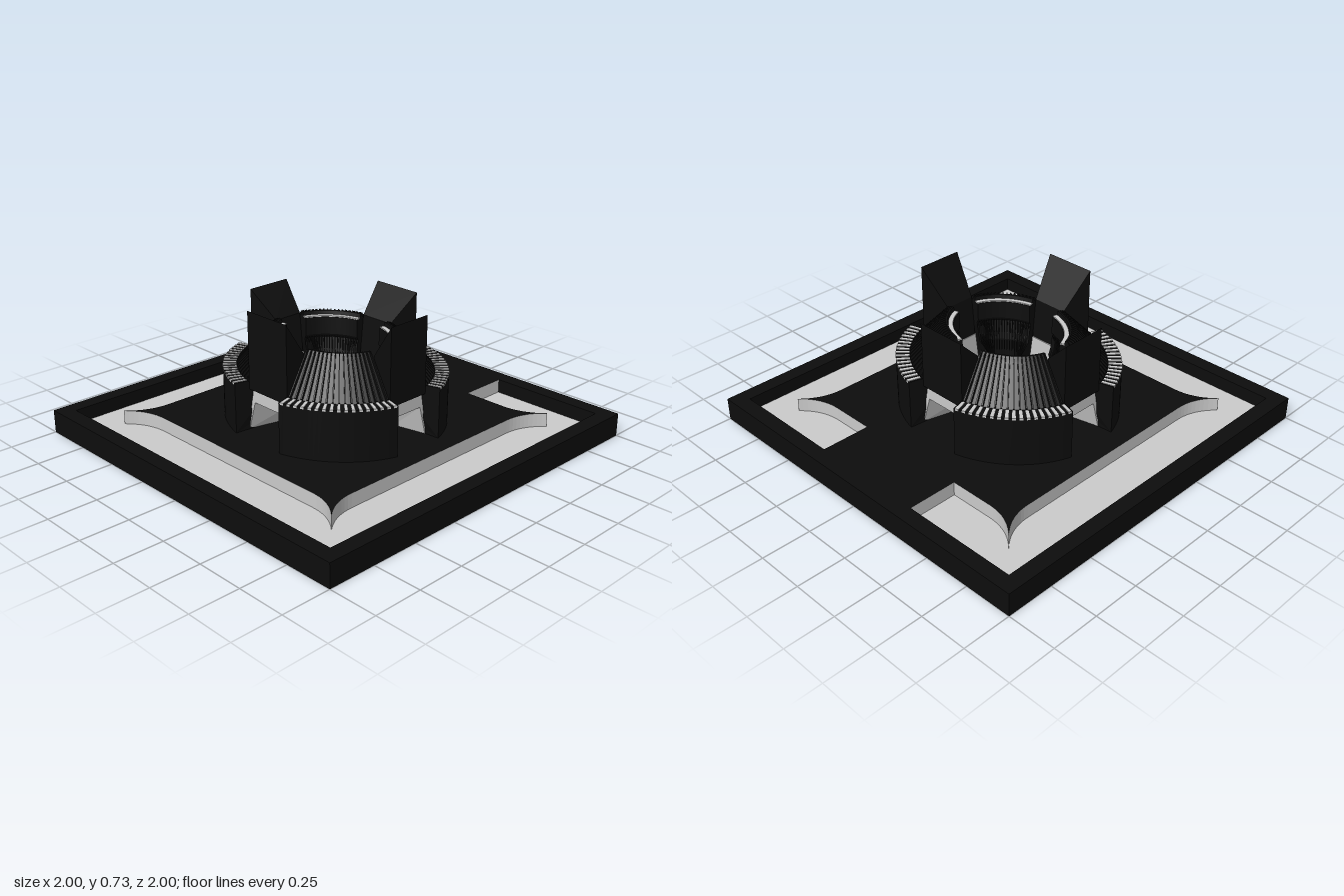
import * as THREE from 'three';

const mat = (color) => new THREE.MeshStandardMaterial({ color, flatShading: true, side: THREE.DoubleSide });
const black = mat(0x0d0d0d);
const grey = mat(0xcccccc);
const green = mat(0x43b012);
const GROUND = 0.12;
const FLOOR = 0.045;
const GAP = 0.27; // half angle of each gateway gap
const SPAN = Math.PI / 2 - 2 * GAP;

function add(parent, name, geometry, material) {
  const mesh = new THREE.Mesh(geometry, material);
  mesh.name = name;
  parent.add(mesh);
  return mesh;
}

const polygon = (pts) => new THREE.Shape(pts.map(([x, y]) => new THREE.Vector2(x, y)));

// Sweeps a (radius, height) section around the slightly oval plan.
function arc(section, start, end, steps = 1) {
  const g = new THREE.ExtrudeGeometry(polygon(section), { depth: 1, steps, bevelEnabled: false });
  const p = g.attributes.position;
  const keepClear = (v, y) => (y < 0.3 && Math.abs(v) < 0.125 ? Math.sign(v) * 0.125 : v);
  for (let i = 0; i < p.count; i++) {
    const r = p.getX(i), y = p.getY(i);
    const a = start + (end - start) * p.getZ(i);
    p.setXYZ(i, keepClear((r + 0.025) * Math.cos(a), y), y, keepClear((r - 0.025) * Math.sin(a), y));
  }
  g.computeVertexNormals();
  return g;
}

// Lays a plan shape flat between two heights.
function slab(shape, y0, y1) {
  const g = new THREE.ExtrudeGeometry(shape, { depth: y1 - y0, bevelEnabled: false, curveSegments: 10 });
  return g.rotateX(-Math.PI / 2).translate(0, y0, 0);
}

function roundedRect(w, h, r) {
  const s = new THREE.Shape();
  s.moveTo(w - r, -h);
  s.absarc(w - r, -h + r, r, -Math.PI / 2, 0);
  s.absarc(w - r, h - r, r, 0, Math.PI / 2);
  s.absarc(-w + r, h - r, r, Math.PI / 2, Math.PI);
  s.absarc(-w + r, -h + r, r, Math.PI, Math.PI * 1.5);
  s.closePath();
  return s;
}

function outline(w, h, r, t) {
  const s = roundedRect(w, h, r);
  s.holes.push(roundedRect(w - t, h - t, r - t));
  return s;
}

// Island with pointed, flared corners and a causeway at the back.
function islandShape() {
  const e = 0.66, c = 0.54, tip = 0.75, cw = 0.31;
  const s = new THREE.Shape();
  s.moveTo(-c, -e);
  s.lineTo(c, -e);
  s.quadraticCurveTo(e, -e, tip, -tip);
  s.quadraticCurveTo(e, -e, e, -c);
  s.lineTo(e, c);
  s.quadraticCurveTo(e, e, tip, tip);
  s.quadraticCurveTo(e, e, c, e);
  s.lineTo(cw, e);
  s.lineTo(cw, 0.92);
  s.lineTo(-cw, 0.92);
  s.lineTo(-cw, e);
  s.lineTo(-c, e);
  s.quadraticCurveTo(-e, e, -tip, tip);
  s.quadraticCurveTo(-e, e, -e, c);
  s.lineTo(-e, -c);
  s.quadraticCurveTo(-e, -e, -tip, -tip);
  s.quadraticCurveTo(-e, -e, -c, -e);
  return s;
}

// Gateway lining that narrows and drops towards the pitch.
function portal() {
  const depth = 0.17;
  const g = new THREE.ExtrudeGeometry(polygon([
    [-0.155, GROUND], [-0.115, 0.34], [0.115, 0.34], [0.155, GROUND],
    [0.15, GROUND], [0.105, 0.27], [-0.105, 0.27], [-0.15, GROUND],
  ]), { depth, bevelEnabled: false });
  const p = g.attributes.position;
  for (let i = 0; i < p.count; i++) {
    const t = 1 - p.getZ(i) / depth, y = p.getY(i);
    p.setX(i, p.getX(i) * (1 - 0.27 * t));
    if (y < 0.3) p.setY(i, GROUND + (y - GROUND) * (1 - 0.47 * t));
  }
  g.computeVertexNormals();
  return g;
}

function createBase() {
  const base = new THREE.Group();
  base.name = 'base';
  add(base, 'foundation', new THREE.BoxGeometry(2, FLOOR, 2).translate(0, FLOOR / 2, 0), black);
  const square = (s) => polygon([[-s, -s], [s, -s], [s, s], [-s, s]]);
  const frame = square(1);
  frame.holes.push(square(0.92));
  add(base, 'outerRim', slab(frame, FLOOR, GROUND), black);
  add(base, 'moatFloor', slab(square(0.92), FLOOR, FLOOR + 0.003), grey);
  add(base, 'island', slab(islandShape(), FLOOR, GROUND), [black, grey]);
  return base;
}

function createPitch() {
  const pitch = new THREE.Group();
  pitch.name = 'pitch';
  add(pitch, 'apron', slab(roundedRect(0.245, 0.215, 0.12), GROUND, 0.122), grey);
  add(pitch, 'trackLine', slab(outline(0.228, 0.198, 0.11, 0.006), GROUND, 0.124), black);
  add(pitch, 'grass', slab(roundedRect(0.2, 0.17, 0.09), GROUND, 0.125), green);
  add(pitch, 'outerLine', slab(outline(0.12, 0.1, 0.06, 0.003), GROUND, 0.127), grey);
  add(pitch, 'centrePatch', new THREE.BoxGeometry(0.1, 0.008, 0.035).translate(0, 0.125, 0), grey);
  return pitch;
}

// One quarter of the bowl, between two gateways.
function createStand(start) {
  const stand = new THREE.Group();
  stand.name = 'stand';
  const end = start + SPAN;
  add(stand, 'shell', arc([
    [0.555, GROUND], [0.555, 0.378], [0.485, 0.378], [0.475, 0.365], [0.32, 0.535], [0.305, 0.555],
    [0.295, 0.555], [0.29, 0.53], [0.265, 0.53], [0.262, 0.44], [0.275, 0.42],
    [0.255, 0.32], [0.25, 0.22], [0.25, GROUND],
  ], start, end, 24), black);
  add(stand, 'upperWalkway', arc([[0.292, 0.53], [0.292, 0.536], [0.268, 0.536], [0.268, 0.53]], start, end, 20), grey);
  add(stand, 'lowerSeats', arc([
    [0.255, GROUND], [0.255, 0.18], [0.242, 0.18], [0.242, 0.16],
    [0.231, 0.16], [0.231, 0.14], [0.22, 0.14], [0.22, GROUND],
  ], start, end, 16), grey);

  const ring = (name, count, width, section, material) => {
    for (let i = 0; i < count; i++) {
      const a = start + (SPAN * (i + 0.5)) / count;
      add(stand, name, arc(section, a - width / 2, a + width / 2), material);
    }
  };
  ring('roofSlat', 17, 0.03, [[0.556, 0.37], [0.556, 0.381], [0.488, 0.381], [0.488, 0.37]], grey);
  ring('roofRib', 17, 0.014, [[0.485, 0.36], [0.485, 0.385], [0.33, 0.55], [0.305, 0.561], [0.298, 0.54], [0.32, 0.52]], black);
  ring('aisle', 14, 0.025, [[0.258, 0.14], [0.258, 0.2], [0.245, 0.19], [0.226, 0.15], [0.226, 0.14]], black);
  ring('innerFin', 20, 0.02, [[0.263, 0.43], [0.255, 0.36], [0.243, 0.32], [0.246, 0.22], [0.26, 0.22], [0.275, 0.4]], black);
  return stand;
}

export function createModel() {
  const model = new THREE.Group();
  model.name = 'stadium';
  model.add(createBase(), createPitch());
  const peaks = [0.73, 0.73, 0.68, 0.68];
  for (let q = 0; q < 4; q++) {
    const a = (q * Math.PI) / 2;
    model.add(createStand(a + GAP));

    // Wedge-topped tower bridging the gateway
    add(model, 'tower', arc([[0.48, 0.335], [0.48, peaks[q]], [0.33, 0.54], [0.3, 0.335]], a - GAP, a + GAP), black);

    const gate = add(model, 'gateway', portal(), grey);
    const inner = q % 2 ? 0.26 : 0.31;
    gate.rotation.y = Math.PI / 2 - a;
    gate.position.set(Math.cos(a) * inner, 0, Math.sin(a) * inner);
    if (q % 2 === 0) gate.scale.x = 0.9;
  }
  return model;
}
